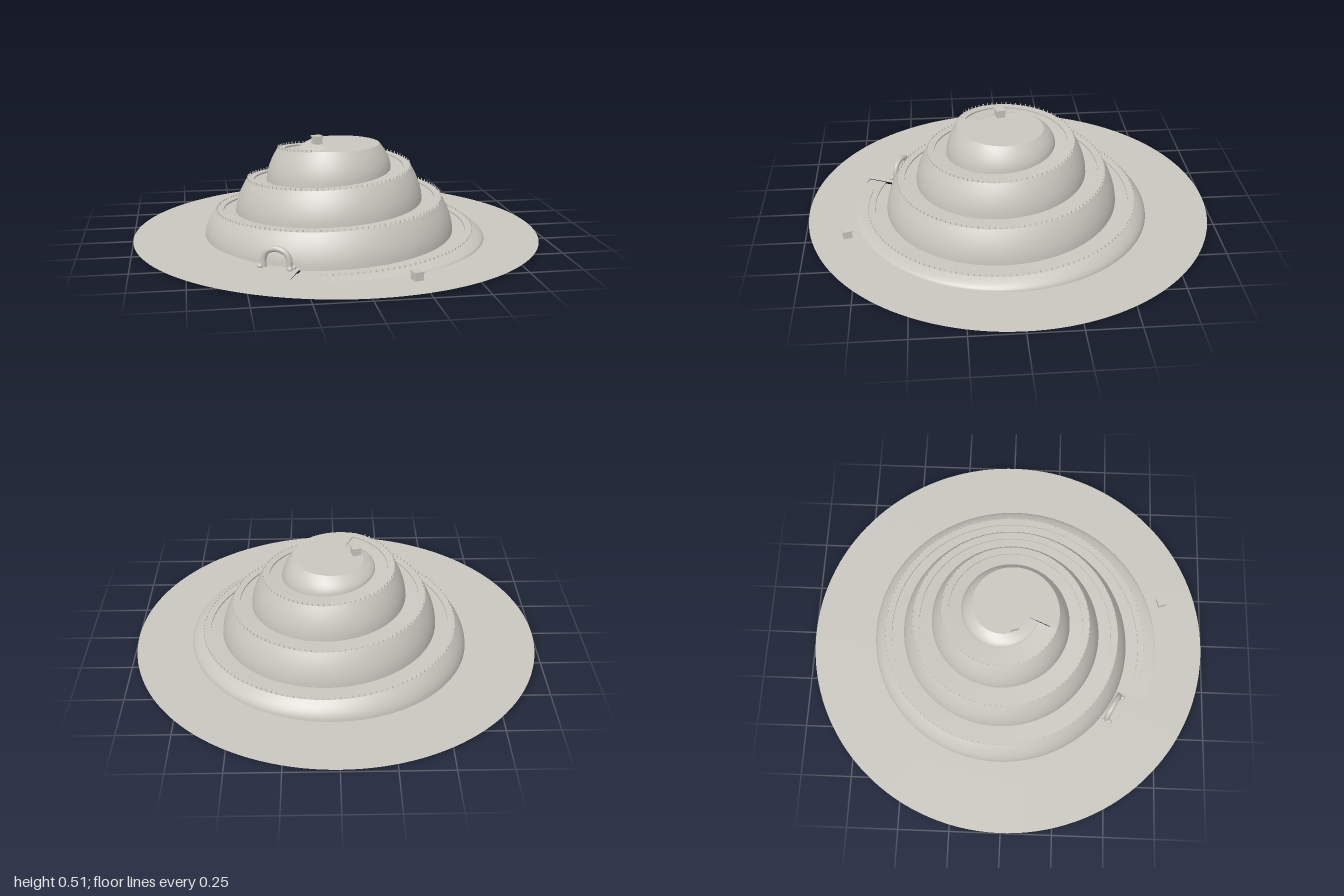
import * as THREE from 'three';
import { mergeGeometries } from 'three/addons/utils/BufferGeometryUtils.js';

// Spiral measured in quarter turns q, starting at the front and turning towards +x.
const START = -0.26, END = 11.74, TOP = 0.47, GROUND = 0.015, STEP = 0.008;
const foot = q => 0.765 - 0.0385 * q;               // radius of the wall's foot
const rise = q => 0.022 + 0.0382 * q;               // height of the path
const crest = q => Math.min(rise(q), TOP);
const base = q => (q < START + 4 ? Math.min(GROUND, rise(q)) : rise(q - 4) - STEP);
const RIM = 0.056, KERB = 0.092, PITCH = 0.154;

// Sweeps a cross-section of [radius, height] points around the spiral.
function sweep(q0, q1, section) {
  const steps = Math.ceil((q1 - q0) * 32);
  const pos = [], index = [];
  let n = 0;
  for (let i = 0; i <= steps; i++) {
    const q = q0 + (q1 - q0) * i / steps, a = q * Math.PI / 2;
    const pts = section(q);
    n = pts.length;
    for (const [r, y] of pts) pos.push(r * Math.sin(a), y, r * Math.cos(a));
    if (i === steps) break;
    for (let j = 0; j < n - 1; j++) {
      const k = i * n + j;
      index.push(k, k + n, k + n + 1, k, k + n + 1, k + 1);
    }
  }
  const g = new THREE.BufferGeometry();
  g.setAttribute('position', new THREE.Float32BufferAttribute(pos, 3));
  g.setIndex(index);
  g.computeVertexNormals();
  return g;
}

export function createModel() {
  const model = new THREE.Group();
  model.name = 'spiralHill';
  const stone = new THREE.MeshStandardMaterial({ color: 0xc8c6be, side: THREE.DoubleSide });
  stone.name = 'pale stone';
  const add = (name, geometry, parent = model) => {
    const m = new THREE.Mesh(geometry, stone);
    m.name = name;
    parent.add(m);
    return m;
  };

  // Flat ground, open under the hill
  add('ground', sweep(START, START + 4, q => [[1, GROUND], [foot(q), GROUND]]));

  // Convex wall rising from each lower turn of the path
  add('hillWall', sweep(START, END + 4, q => {
    const pts = [];
    for (let j = 0; j <= 8; j++) {
      const u = j / 8;
      pts.push([foot(q) - RIM * u ** 1.8, base(q) + (crest(q) - base(q)) * u]);
    }
    return pts;
  }));

  // Path: raised outer rim, small step, lower walkway
  add('pathRim', sweep(START, END, q => [[foot(q) - RIM, rise(q)], [foot(q) - KERB, rise(q)]]));
  add('pathStep', sweep(START, END, q =>
    [[foot(q) - KERB, rise(q)], [foot(q) - KERB, rise(q) - STEP]]));
  add('walkway', sweep(START, END, q =>
    [[foot(q) - KERB, rise(q) - STEP], [foot(q) - PITCH, rise(q) - STEP]]));

  // Summit
  add('summit', sweep(END, END + 4, q => [[foot(q) - RIM, TOP], [0, TOP]]));

  // Small posts along the outer edge of the path
  const posts = [];
  for (let q = START + 0.1; q < END - 0.1; q += 0.03 / (foot(q) * Math.PI / 2)) {
    const a = q * Math.PI / 2, r = foot(q) - RIM - 0.003;
    posts.push(new THREE.BoxGeometry(0.004, 0.012, 0.004).rotateY(a)
      .translate(r * Math.sin(a), rise(q) + 0.005, r * Math.cos(a)));
  }
  add('edgePosts', mergeGeometries(posts));

  // Entrance arch with stones at its feet
  const arch = new THREE.Group();
  arch.name = 'entranceArch';
  arch.position.set(-0.352, GROUND, 0.545);
  arch.rotation.y = -0.5;
  model.add(arch);
  const curve = new THREE.CatmullRomCurve3([[-0.062, 0], [-0.062, 0.04], [-0.045, 0.073], [0, 0.088],
    [0.045, 0.073], [0.062, 0.04], [0.062, 0]].map(([x, y]) => new THREE.Vector3(x, y, 0)));
  add('archRing', new THREE.TubeGeometry(curve, 32, 0.014, 10), arch);
  for (const s of [-1, 1]) {
    for (const [dx, dz, r] of [[0.01, 0.018, 0.013], [0.018, -0.012, 0.01]]) {
      add('footStone', new THREE.SphereGeometry(r, 10, 8), arch)
        .position.set(s * (0.062 + dx), 0.006, dz);
    }
  }

  // Marker blocks with thin caps, on the summit and beside the path
  for (const [x, y, z, name] of [[-0.098, TOP, 0.032, 'summitBlock'], [0.228, GROUND, 0.798, 'groundBlock']]) {
    const block = new THREE.Group();
    block.name = name;
    block.position.set(x, y, z);
    block.rotation.y = 0.27;
    model.add(block);
    add('blockBody', new THREE.BoxGeometry(0.041, 0.034, 0.041), block).position.y = 0.017;
    add('blockCap', new THREE.BoxGeometry(0.048, 0.006, 0.048), block).position.y = 0.037;
  }
  return model;
}
